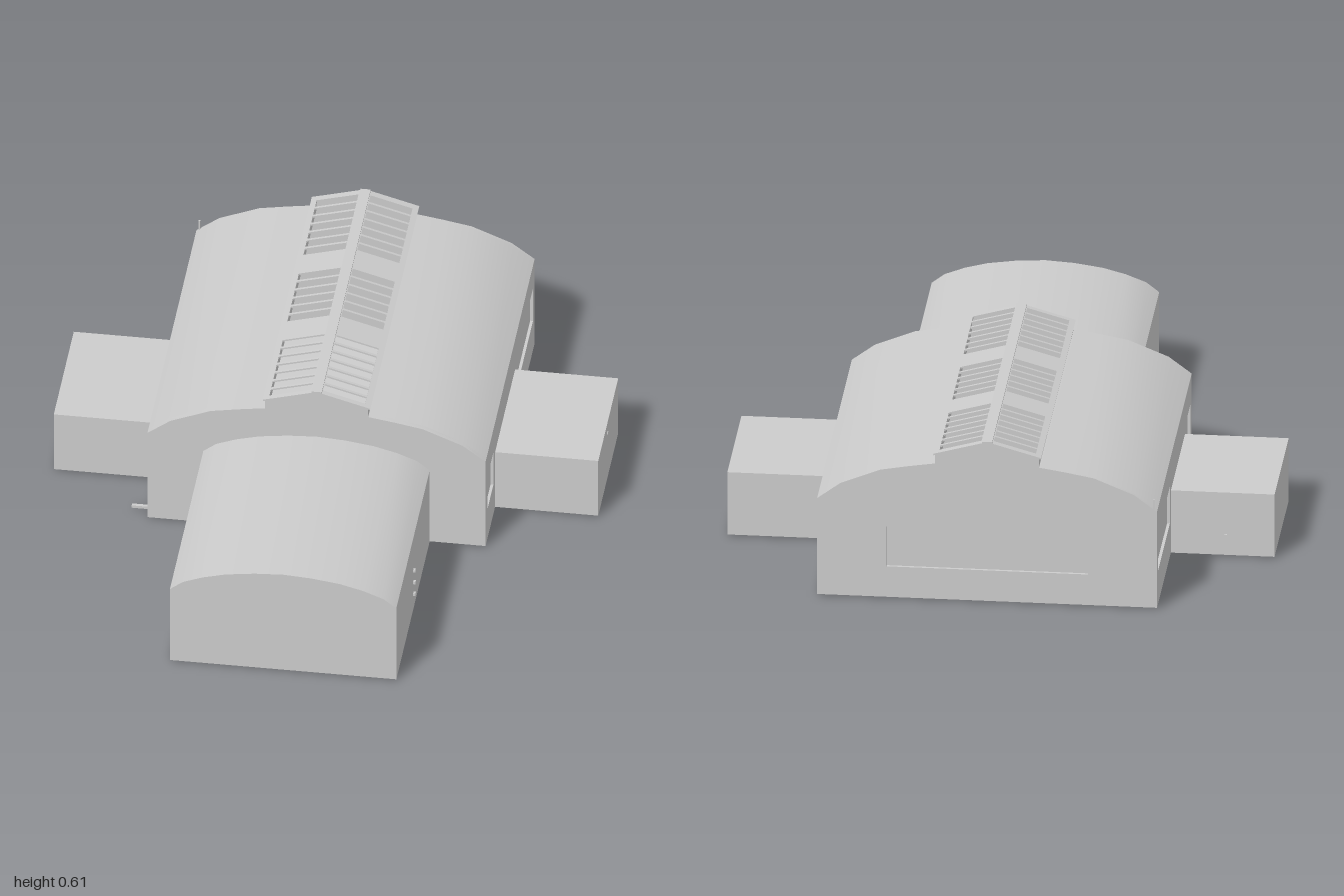
import * as THREE from 'three';
import { toCreasedNormals } from 'three/addons/utils/BufferGeometryUtils.js';

const material = new THREE.MeshStandardMaterial({ color: 0xcccccc, side: THREE.DoubleSide });

function add(parent, name, geometry) {
  const mesh = new THREE.Mesh(geometry, material);
  mesh.name = name;
  parent.add(mesh);
  return mesh;
}

// box given by its minimum and maximum corners
function addBox(parent, name, [x0, y0, z0], [x1, y1, z1]) {
  const mesh = add(parent, name, new THREE.BoxGeometry(x1 - x0, y1 - y0, z1 - z0));
  mesh.position.set((x0 + x1) / 2, (y0 + y1) / 2, (z0 + z1) / 2);
  return mesh;
}

function polygon(points, holes = []) {
  const shape = new THREE.Shape(points.map(([x, y]) => new THREE.Vector2(x, y)));
  for (const [x0, y0, x1, y1] of holes) {
    shape.holes.push(new THREE.Path([
      new THREE.Vector2(x0, y0), new THREE.Vector2(x0, y1),
      new THREE.Vector2(x1, y1), new THREE.Vector2(x1, y0),
    ]));
  }
  return shape;
}

function extrude(shape, depth) {
  return toCreasedNormals(new THREE.ExtrudeGeometry(shape, { depth, bevelEnabled: false }), 0.6);
}

// mirrors a right-hand profile into a closed outline
function mirrored(half) {
  return [...half, ...half.filter(p => p[0] > 0).reverse().map(([x, y]) => [-x, y])];
}

const BASE = 0.005, BACK = -1, FRONT = 0.19, HALF = 0.59;
const RIDGE = 0.605, EAVE = 0.553, MONITOR = 0.18;
const ROOF = [[HALF, 0.367], [0.51, 0.427], [0.37, 0.484], [0.27, 0.502], [MONITOR, 0.516]];

function mainHall() {
  const hall = new THREE.Group();
  hall.name = 'mainHall';
  addBox(hall, 'hallFloor', [-HALF, BASE, BACK], [HALF, BASE + 0.01, FRONT]);

  // gable ends, the rear one with a long recessed window
  const gable = mirrored([[HALF, BASE], ...ROOF, [MONITOR, EAVE], [0, RIDGE - 0.004]]);
  add(hall, 'frontGable', extrude(polygon(gable), 0.02)).position.z = FRONT - 0.02;
  add(hall, 'backGable', extrude(polygon(gable, [[-0.35, 0.12, 0.35, 0.27]]), 0.01)).position.z = BACK;
  addBox(hall, 'backWindow', [-0.37, 0.1, BACK + 0.01], [0.37, 0.29, BACK + 0.015]);

  const length = FRONT - BACK;
  for (const side of [1, -1]) {
    // side wall with recessed window bands on either side of the annex
    const wall = polygon(
      [[BACK, BASE], [FRONT, BASE], [FRONT, ROOF[0][1]], [BACK, ROOF[0][1]]],
      [[-0.96, 0.13, -0.56, 0.27], [0.0, 0.13, 0.15, 0.27]]);
    const wallGeometry = extrude(wall, 0.01).rotateY(-Math.PI / 2);
    add(hall, 'sideWall', wallGeometry).position.x = side > 0 ? HALF : -HALF + 0.01;
    const backing = addBox(hall, 'sideWindows', [0, 0.1, BACK + 0.02], [0.005, 0.3, FRONT - 0.02]);
    backing.position.x = side * (HALF - 0.0125);

    // curved roof shell ending in the upright side of the roof monitor
    const outer = [...ROOF, [MONITOR, EAVE]];
    const inner = [[MONITOR - 0.01, EAVE], ...ROOF.slice().reverse().map(([x, y]) => [x - 0.01, y - 0.012])];
    const shell = polygon([...outer, ...inner].map(([x, y]) => [x * side, y]));
    add(hall, 'curvedRoof', extrude(shell, length)).position.z = BACK;
    hall.add(monitorSlope(side));
  }
  addBox(hall, 'ridgeCap', [-0.018, RIDGE - 0.006, BACK], [0.018, RIDGE, FRONT]);
  return hall;
}

// one slope of the roof monitor, with three groups of open panes
function monitorSlope(side) {
  const run = MONITOR + 0.006, drop = RIDGE - EAVE;
  const slope = Math.hypot(run, drop);
  const holes = [];
  for (const [z0, z1, count] of [[-0.98, -0.65, 7], [-0.55, -0.26, 6], [-0.16, 0.175, 7]]) {
    const pitch = (z1 - z0) / count;
    for (let i = 0; i < count; i++) {
      const a = z0 + i * pitch + 0.005, b = z0 + (i + 1) * pitch - 0.005;
      holes.push([side * 0.02, -b, side * 0.172, -a]);
    }
  }
  const shape = polygon(
    [[0, -FRONT], [side * slope, -FRONT], [side * slope, -BACK], [0, -BACK]], holes);
  const geometry = extrude(shape, 0.006);
  geometry.rotateX(-Math.PI / 2).rotateZ(-side * Math.atan2(drop, run));
  const group = new THREE.Group();
  group.name = 'monitorSlope';
  add(group, 'glazingFrame', geometry).position.y = RIDGE - 0.007;
  return group;
}

// lower vaulted hall in front of the main one
function frontHall() {
  const profile = mirrored([
    [0.395, BASE], [0.395, 0.31], [0.35, 0.345], [0.28, 0.372],
    [0.2, 0.393], [0.1, 0.407], [0, 0.413],
  ]);
  const group = new THREE.Group();
  group.name = 'frontHall';
  add(group, 'vaultedBody', extrude(polygon(profile), 1 - FRONT)).position.z = FRONT;
  for (const y of [0.07, 0.12, 0.17]) {
    addBox(group, 'wallFitting', [0.395, y - 0.005, 0.58], [0.403, y + 0.005, 0.592]);
  }
  return group;
}

export function createModel() {
  const model = new THREE.Group();
  model.name = 'hallBuilding';
  model.add(mainHall(), frontHall());

  // flat-roofed annexes
  for (const side of [1, -1]) {
    const annex = addBox(model, 'sideAnnex', [0, BASE, -0.525], [0.37, 0.24, -0.04]);
    annex.position.x = side * 0.765;
  }

  // small fittings
  addBox(model, 'threshold', [-0.18, 0, 0.165], [0.18, 0.012, 0.193]);
  addBox(model, 'drainPipe', [-0.65, 0.015, 0.145], [-0.58, 0.025, 0.157]);
  addBox(model, 'roofMast', [-0.582, 0.36, -0.998], [-0.576, 0.412, -0.992]);
  addBox(model, 'annexFitting', [0.948, 0.195, -0.265], [0.953, 0.205, -0.257]);
  addBox(model, 'annexFitting', [-0.785, 0.075, -0.53], [-0.775, 0.083, -0.523]);
  return model;
}
